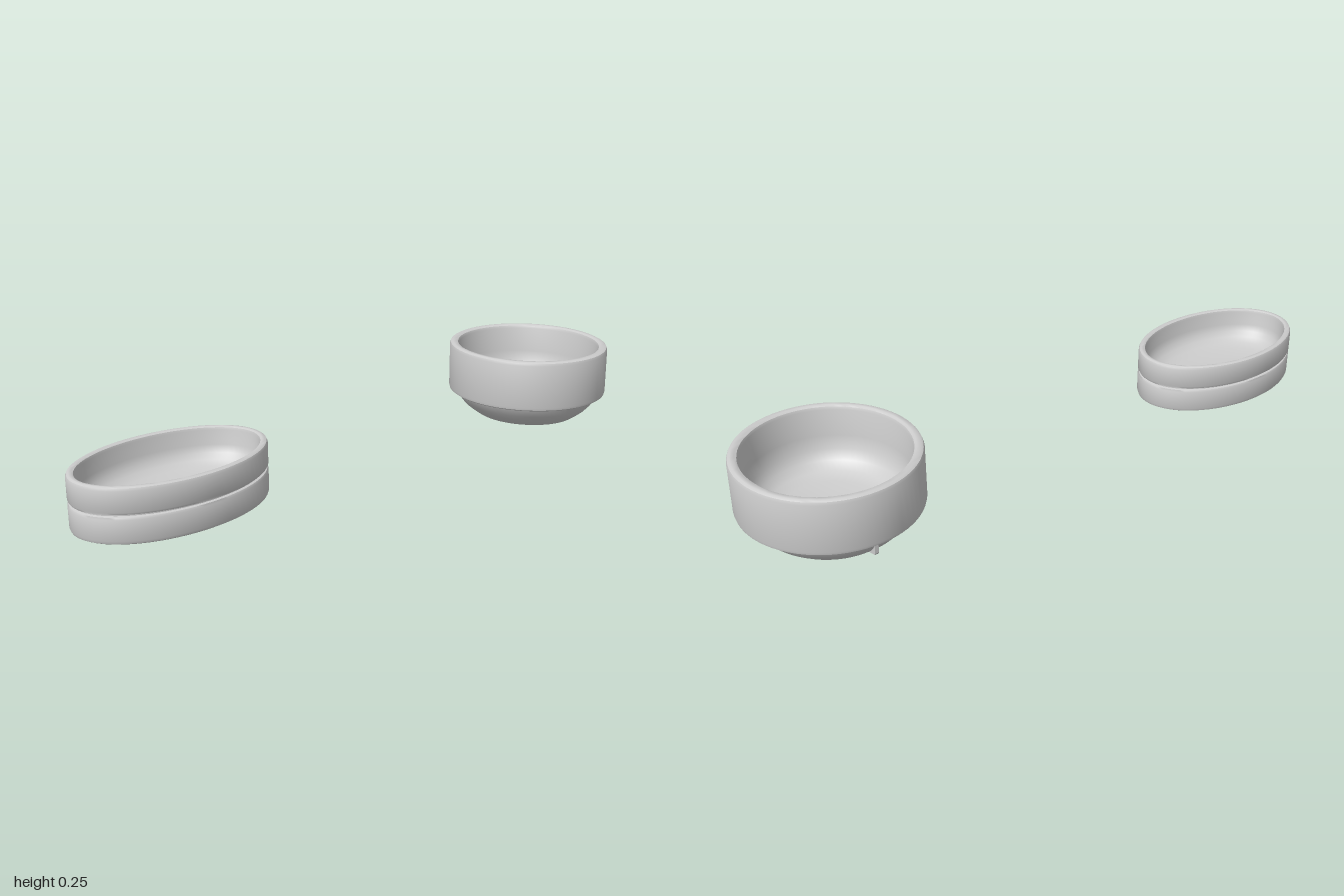
import * as THREE from 'three';
import { mergeVertices, toCreasedNormals } from 'three/addons/utils/BufferGeometryUtils.js';

// Elliptical vessel: each profile point is [inset from the outer ellipse, y, scale toward the centre]
function ellipticVessel(rx, rz, profile, segments = 72) {
  const geo = new THREE.LatheGeometry(profile.map(([, y]) => new THREE.Vector2(1, y)), segments);
  const pos = geo.attributes.position;
  for (let i = 0; i <= segments; i++) {
    const a = (i % segments) / segments * Math.PI * 2;
    profile.forEach(([inset, y, k = 1], j) => {
      pos.setXYZ(i * profile.length + j, (rx - inset) * k * Math.sin(a), y, (rz - inset) * k * Math.cos(a));
    });
  }
  geo.deleteAttribute('uv');
  geo.deleteAttribute('normal');
  return toCreasedNormals(mergeVertices(geo, 1e-5), 0.6);
}

export function createModel() {
  const model = new THREE.Group();
  const clay = new THREE.MeshStandardMaterial({ color: 0xcccccc });
  clay.name = 'pale grey clay';

  const add = (name, geo, parent) => {
    const mesh = new THREE.Mesh(geo, clay);
    mesh.name = name;
    parent.add(mesh);
    return mesh;
  };

  // Round bowl: narrow curved foot, overhanging collar, hollow inside
  const round = new THREE.Group();
  round.name = 'roundBowl';
  round.position.set(0.736, 0, 0);
  add('roundBowlBody', ellipticVessel(0.262, 0.273, [
    [0, 0, 0], [0.097, 0], [0.082, 0.01], [0.06, 0.027], [0.042, 0.046], [0.024, 0.075],
    [0.022, 0.08], [0.008, 0.078], [0.002, 0.082], [0, 0.09],
    [0, 0.233], [0.003, 0.241], [0.01, 0.245], [0.022, 0.245], [0.028, 0.241], [0.031, 0.233],
    [0.034, 0.15], [0.042, 0.11], [0.058, 0.08], [0.085, 0.06], [0.125, 0.05], [0, 0.045, 0],
  ]), round);

  // Small tab under the collar at the back
  const tab = new THREE.Shape([[0.18, 0.02], [0.2, 0.02], [0.235, 0.027], [0.239, 0.033], [0.239, 0.065],
    [0.235, 0.08], [0.2, 0.08]].map(([x, y]) => new THREE.Vector2(x, y)));
  const tabGeo = new THREE.ExtrudeGeometry(tab, { depth: 0.012, bevelEnabled: false });
  tabGeo.translate(0, 0, -0.006);
  tabGeo.rotateY(Math.PI / 2);
  add('backTab', tabGeo, round);
  model.add(round);

  // Oval dish: two stacked bands parted by a groove, with a shallow curved hollow
  const oval = new THREE.Group();
  oval.name = 'ovalDish';
  oval.position.set(-0.7, 0, -0.052);
  add('ovalDishBody', ellipticVessel(0.3, 0.192, [
    [0, 0.017, 0], [0.03, 0.019], [0.012, 0.023], [0.003, 0.028], [0, 0.036],
    [0, 0.095], [0.003, 0.101], [0.01, 0.103], [0.01, 0.107], [0.003, 0.109], [0, 0.115],
    [0, 0.174], [0.003, 0.181], [0.008, 0.184], [0.016, 0.184], [0.021, 0.181], [0.023, 0.174],
    [0.026, 0.13], [0.034, 0.108], [0.048, 0.092], [0.07, 0.079], [0.1, 0.07], [0.1, 0.064, 0.5], [0.1, 0.062, 0],
  ]), oval);
  model.add(oval);

  return model;
}
